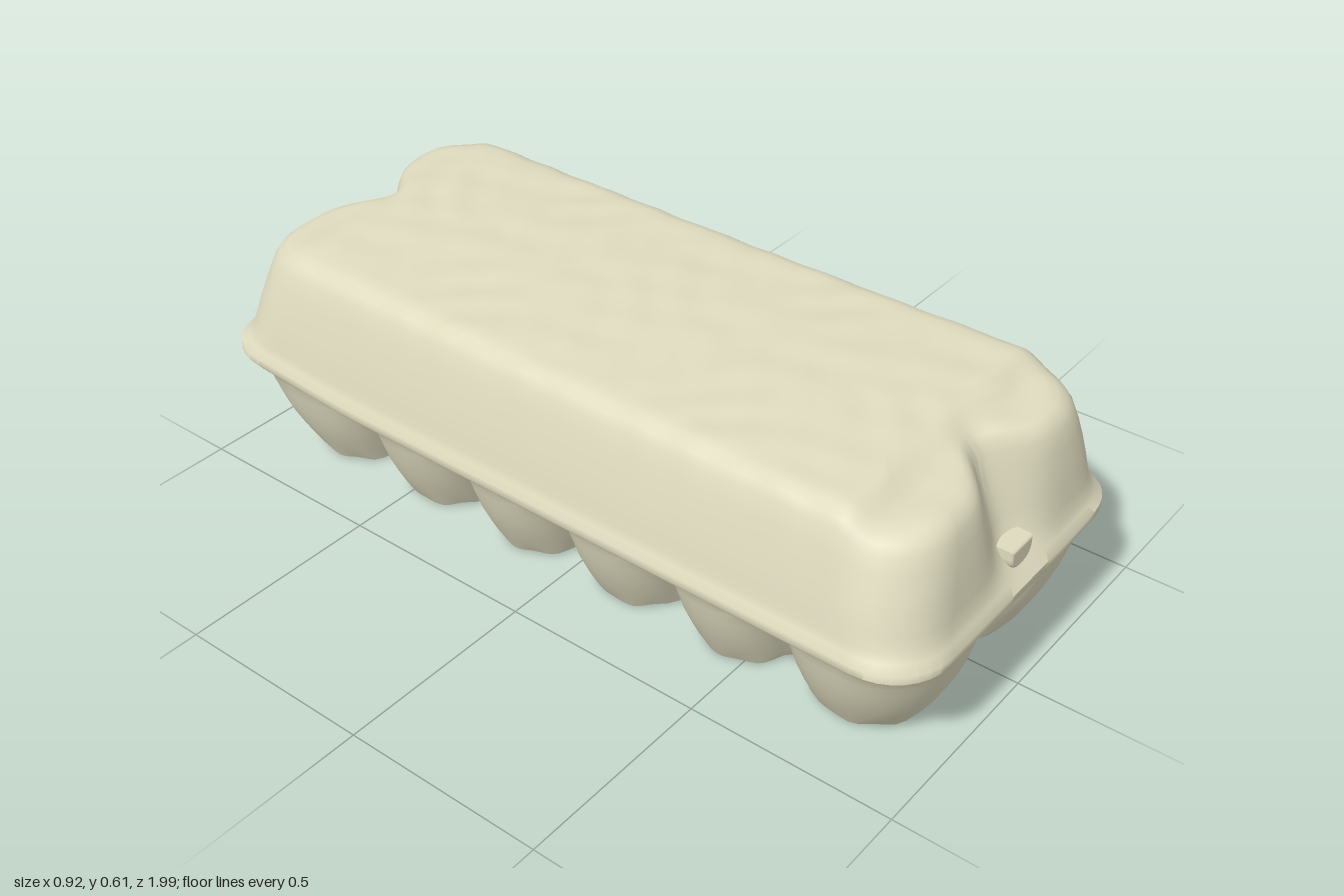
import * as THREE from 'three';
import { toCreasedNormals } from 'three/addons/utils/BufferGeometryUtils.js';

const LONG = 132, END = 44, CORNER = 8;
const smooth = THREE.MathUtils.smoothstep;
const material = new THREE.MeshStandardMaterial({ color: 0xdedabe, side: THREE.DoubleSide });

// Rounded rectangle with a fixed point count; "side" tells which edge a point lies on
function outline({ xL, xR, zh, r }) {
  const pts = [];
  const corner = (cx, cz, a0) => {
    for (let i = 0; i < CORNER; i++) {
      const a = a0 + (i / CORNER) * Math.PI / 2;
      pts.push({ x: cx + r * Math.cos(a), z: cz + r * Math.sin(a), side: 'corner' });
    }
  };
  const edge = (x0, z0, x1, z1, n, side) => {
    for (let i = 0; i < n; i++) {
      const t = i / n;
      pts.push({ x: x0 + (x1 - x0) * t, z: z0 + (z1 - z0) * t, side });
    }
  };
  const l = xL + r, m = xR - r, e = zh - r;
  edge(xR, -e, xR, e, LONG, 'long');
  corner(m, e, 0);
  edge(m, zh, l, zh, END, 'end');
  corner(l, e, Math.PI / 2);
  edge(xL, e, xL, -e, LONG, 'long');
  corner(l, -e, Math.PI);
  edge(l, -zh, m, -zh, END, 'end');
  corner(m, -e, Math.PI * 1.5);
  return pts;
}

// Rings stepping from a level in to its centre line, to close a top or base
function capLevels(level, rise) {
  const half = (level.xR - level.xL) / 2, steps = 12, out = [];
  for (let k = 1; k <= steps; k++) {
    const f = k / steps, d = half * f;
    out.push({ ...level, xL: level.xL + d, xR: level.xR - d, zh: level.zh - d,
      r: Math.max(0, level.r - d), y: level.y + rise * smooth(f, 0, 0.7),
      depth: level.depth * Math.max(0, 1 - f * 1.15) });
  }
  return out;
}

// Skin a stack of levels, each point placed by the given rule
function loft(levels, place, crease) {
  const pos = [], index = [];
  let n = 0;
  levels.forEach(level => {
    const pts = outline(level);
    n = pts.length;
    pts.forEach(p => pos.push(...place(p, level)));
  });
  for (let j = 0; j < levels.length - 1; j++) {
    for (let i = 0; i < n; i++) {
      const a = j * n + i, b = j * n + (i + 1) % n;
      index.push(a, a + n, b, b, a + n, b + n);
    }
  }
  const geo = new THREE.BufferGeometry();
  geo.setAttribute('position', new THREE.Float32BufferAttribute(pos, 3));
  geo.setIndex(index);
  return toCreasedNormals(geo, crease);
}

// Warped rim: lifted at the back, sagging and bulging along the opening side
function warp(x, y, z, amount) {
  const w = amount * smooth(x, 0.1, 0.36), mid = Math.max(0, 1 - z * z);
  const lift = amount * 0.025 * smooth(-z, 0.5, 1) * (1 - smooth(x, 0.1, 0.36));
  return [x + 0.052 * w * mid, y + lift + w * (0.012 - 0.077 * mid), z];
}

// Two rows of six cups: each cup is round, the groove between stops softly at its depth
function placeTray(p, level) {
  let { x, z } = p;
  const mid = (level.xL + level.xR) / 2;
  const groove = (s, r) => {
    const g = r - Math.sqrt(Math.max(0, r * r - s * s)), d = level.depth;
    return g * d / Math.pow(g ** 4 + d ** 4 + 1e-12, 0.25);
  };
  if (p.side === 'long') {
    const az = Math.abs(z);
    x -= Math.sign(x - mid) * groove(az > 0.75 ? 0 : Math.abs((az % 0.3) - 0.15), level.cup);
  } else if (p.side === 'end') {
    z -= Math.sign(z) * groove(Math.max(0, 0.17 - Math.abs(x - mid)), level.cup * 1.12);
  }
  const ragged = level.y < 0.01 ? 0.004 * Math.sin(x * 37 + z * 53) : 0;
  return warp(x, level.y + ragged, z, level.warp);
}

// Lid: notched ends, tilted top with lower end lobes, lumpy pulp surface
function placeLid(p, level) {
  let { x, z } = p;
  if (p.side === 'end') z -= Math.sign(z) * level.depth * Math.exp(-Math.pow(x / 0.09, 2));
  const w = smooth(level.y, 0.33, 0.57);
  let y = level.y + w * (0.055 * x + 0.006 * z * z);
  y -= w * (0.03 * smooth(z, 0.75, 0.83) + 0.012 * smooth(-z, 0.78, 0.86));
  const lump = 0.0022 * (Math.sin(x * 23 + 3 * Math.sin(z * 9)) * Math.sin(z * 19 + 2 * Math.sin(x * 13))
    + 0.6 * Math.sin(x * 41 + z * 17) * Math.sin(z * 37 - x * 11));
  y += w * lump;
  return warp(x, y, z, level.warp);
}

const toLevel = ([y, xL, xR, zh, r, depth, warpAmount, cup]) =>
  ({ y, xL, xR, zh, r, depth, warp: warpAmount, cup });

export function createModel() {
  const group = new THREE.Group();
  const add = (geo, name) => {
    const mesh = new THREE.Mesh(geo, material);
    mesh.name = name;
    group.add(mesh);
    return mesh;
  };

  // Egg tray: y, left, right, half length, corner radius, groove depth, warp, cup radius
  const wall = [
    [0.006, -0.328, 0.288, 0.885, 0.13, 0.115, 0, 0.115],
    [0.04, -0.348, 0.304, 0.905, 0.14, 0.11, 0, 0.122],
    [0.08, -0.368, 0.323, 0.925, 0.15, 0.1, 0, 0.13],
    [0.12, -0.386, 0.34, 0.943, 0.16, 0.086, 0, 0.137],
    [0.16, -0.4, 0.355, 0.957, 0.165, 0.066, 0.1, 0.143],
    [0.2, -0.412, 0.366, 0.967, 0.165, 0.042, 0.3, 0.15],
    [0.23, -0.42, 0.374, 0.974, 0.16, 0.02, 0.55, 0.155],
    [0.252, -0.433, 0.384, 0.979, 0.15, 0.004, 0.85, 0.16],
    [0.268, -0.455, 0.399, 0.988, 0.14, 0, 1, 0.16]
  ].map(toLevel);
  const base = capLevels(wall[0], 0.012).reverse();
  add(loft([...base, ...wall], placeTray, 0.8), 'eggTray');

  // Lid with its rim lip
  const shell = [
    [0.266, -0.454, 0.398, 0.987, 0.14, 0, 1],
    [0.277, -0.462, 0.408, 0.997, 0.14, 0, 1],
    [0.294, -0.46, 0.408, 0.997, 0.14, 0, 1],
    [0.31, -0.448, 0.399, 0.983, 0.14, 0.005, 0.95],
    [0.33, -0.442, 0.394, 0.974, 0.145, 0.02, 0.9],
    [0.36, -0.436, 0.388, 0.968, 0.15, 0.045, 0.75],
    [0.41, -0.424, 0.379, 0.961, 0.15, 0.06, 0.55],
    [0.46, -0.411, 0.369, 0.953, 0.15, 0.072, 0.35],
    [0.51, -0.397, 0.357, 0.944, 0.15, 0.083, 0.15],
    [0.55, -0.383, 0.343, 0.934, 0.145, 0.09, 0],
    [0.572, -0.37, 0.33, 0.922, 0.14, 0.09, 0],
    [0.585, -0.352, 0.312, 0.904, 0.13, 0.085, 0],
    [0.59, -0.33, 0.29, 0.882, 0.115, 0.075, 0]
  ].map(toLevel);
  add(loft([...shell, ...capLevels(shell[shell.length - 1], 0.004)], placeLid, 0.8), 'lid');

  // U-shaped latch knob in each end notch
  const u = new THREE.Shape();
  u.moveTo(-0.036, 0.362);
  u.lineTo(-0.036, 0.345);
  u.quadraticCurveTo(-0.034, 0.32, 0, 0.32);
  u.quadraticCurveTo(0.034, 0.32, 0.036, 0.345);
  u.lineTo(0.036, 0.362);
  const knob = new THREE.ExtrudeGeometry(u, {
    depth: 0.06, bevelEnabled: true, bevelSize: 0.006, bevelThickness: 0.008, bevelSegments: 3
  });
  knob.translate(0, 0, 0.9);
  add(knob, 'frontLatch');
  add(knob, 'backLatch').rotation.y = Math.PI;

  return group;
}
